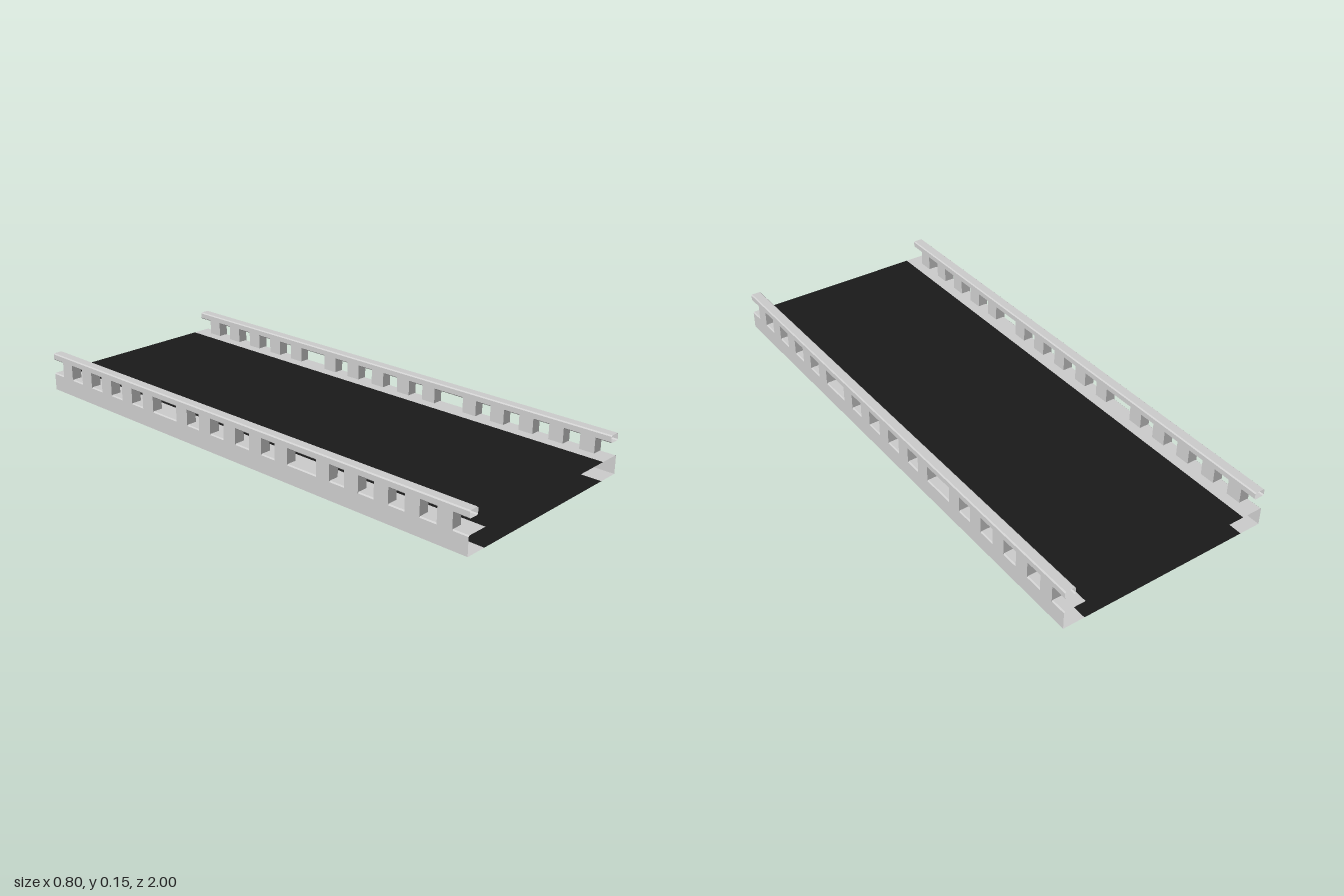
import * as THREE from 'three';

const grey = new THREE.MeshStandardMaterial({ color: 0xcccccc, side: THREE.DoubleSide });
const black = new THREE.MeshStandardMaterial({ color: 0x1a1a1a, side: THREE.DoubleSide });
const DECK = 0.068, BEVEL = 0.004, OUT = 0.4, IN = 0.36, KERB = 0.32;
const RAIL_LOW = 0.121, RAIL_TOP = 0.148;

// Sweeps an anticlockwise x/y profile along z, leaving both ends open
function sweep(points) {
  const pos = [];
  for (let i = 0; i < points.length - 1; i++) {
    const [ax, ay] = points[i], [bx, by] = points[i + 1];
    pos.push(ax, ay, -1, bx, by, -1, bx, by, 1);
    pos.push(ax, ay, -1, bx, by, 1, ax, ay, 1);
  }
  const geo = new THREE.BufferGeometry();
  geo.setAttribute('position', new THREE.Float32BufferAttribute(pos, 3));
  geo.computeVertexNormals();
  return geo;
}

// Mirrors a profile to the other side, keeping it anticlockwise
const onSide = (points, side) =>
  side > 0 ? points : points.map(([x, y]) => [-x, y]).reverse();

function add(parent, name, geo, material) {
  const mesh = new THREE.Mesh(geo, material);
  mesh.name = name;
  parent.add(mesh);
  return mesh;
}

export function createModel() {
  const model = new THREE.Group();
  model.name = 'bridgeSection';

  // Road surface and underside
  add(model, 'road', sweep([[KERB, DECK], [-KERB, DECK]]), black);
  add(model, 'underside', sweep([[-KERB, 0], [KERB, 0]]), black);

  const edge = [[KERB, 0], [OUT, 0], [OUT, DECK - BEVEL], [OUT - BEVEL, DECK], [KERB, DECK]];
  const rail = [
    [IN + BEVEL, RAIL_LOW], [OUT - BEVEL, RAIL_LOW], [OUT, RAIL_LOW + BEVEL],
    [OUT, RAIL_TOP - BEVEL], [OUT - BEVEL, RAIL_TOP], [IN + BEVEL, RAIL_TOP],
    [IN, RAIL_TOP - BEVEL], [IN, RAIL_LOW + BEVEL], [IN + BEVEL, RAIL_LOW],
  ];
  // Post section flares at its corners to meet the bevels
  const post = [
    [IN, DECK], [OUT - BEVEL, DECK], [OUT, DECK - BEVEL], [OUT, RAIL_LOW + BEVEL],
    [OUT - BEVEL, RAIL_LOW], [IN + BEVEL, RAIL_LOW], [IN, RAIL_LOW + BEVEL],
  ];
  // Post centres along one half, with a wide gap between 0.245 and 0.43
  const centres = [0, 0.125, 0.245, 0.43, 0.55, 0.671, 0.792, 0.913];
  const postDepth = 0.057;

  for (const side of [1, -1]) {
    const half = new THREE.Group();
    half.name = side > 0 ? 'leftParapet' : 'rightParapet';
    model.add(half);
    add(half, 'pavement', sweep(onSide(edge, side)), grey);
    add(half, 'handrail', sweep(onSide(rail, side)), grey);

    const shape = new THREE.Shape(onSide(post, side).map(([x, y]) => new THREE.Vector2(x, y)));
    const geo = new THREE.ExtrudeGeometry(shape, { depth: postDepth, bevelEnabled: false });
    geo.translate(0, 0, -postDepth / 2);
    for (const z of centres) {
      for (const end of z ? [1, -1] : [1]) add(half, 'post', geo, grey).position.z = z * end;
    }
  }
  return model;
}
